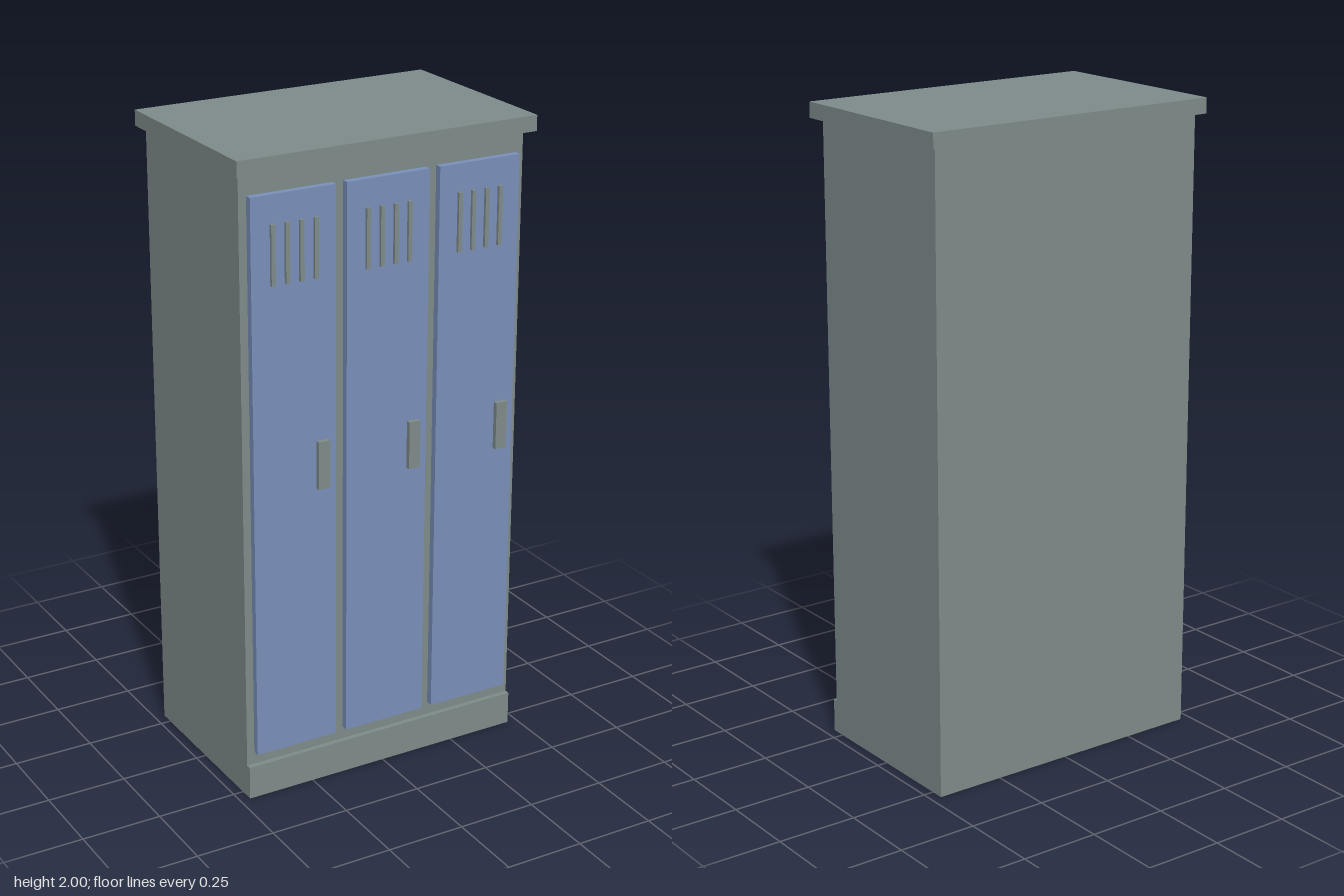
import * as THREE from 'three';

const grey = new THREE.MeshStandardMaterial({ color: 0x7f8c8b });
grey.name = 'grey metal';
const blue = new THREE.MeshStandardMaterial({ color: 0x7a91bc });
blue.name = 'blue door paint';

// Box given by its lower and upper limits on each axis
function box(name, material, [x0, x1], [y0, y1], [z0, z1]) {
  const mesh = new THREE.Mesh(new THREE.BoxGeometry(x1 - x0, y1 - y0, z1 - z0), material);
  mesh.position.set((x0 + x1) / 2, (y0 + y1) / 2, (z0 + z1) / 2);
  mesh.name = name;
  return mesh;
}

const around = (centre, width) => [centre - width / 2, centre + width / 2];

// Door with four vent slats and a handle on the +x side
function createDoor() {
  const door = new THREE.Group();
  door.name = 'door';
  door.add(box('doorPanel', blue, around(0, 0.272), [0.147, 1.887], [0.28, 0.302]));
  for (let i = 0; i < 4; i++) {
    const x = (i - 1.5) * 0.046;
    door.add(box('ventSlat', grey, around(x, 0.013), [1.623, 1.803], [0.302, 0.311]));
  }
  door.add(box('handle', grey, around(0.089, 0.038), [0.977, 1.127], [0.302, 0.317]));
  return door;
}

export function createModel() {
  const locker = new THREE.Group();
  locker.name = 'locker';

  // Plinth, cabinet and overhanging top
  locker.add(box('plinth', grey, [-0.468, 0.468], [0, 0.106], [-0.292, 0.296]));
  locker.add(box('cabinet', grey, [-0.468, 0.468], [0.106, 1.952], [-0.292, 0.28]));
  locker.add(box('topSlab', grey, [-0.49, 0.49], [1.952, 2], [-0.317, 0.317]));

  // Three equal doors
  for (const x of [-0.307, 0, 0.307]) {
    const door = createDoor();
    door.position.x = x;
    locker.add(door);
  }
  return locker;
}
